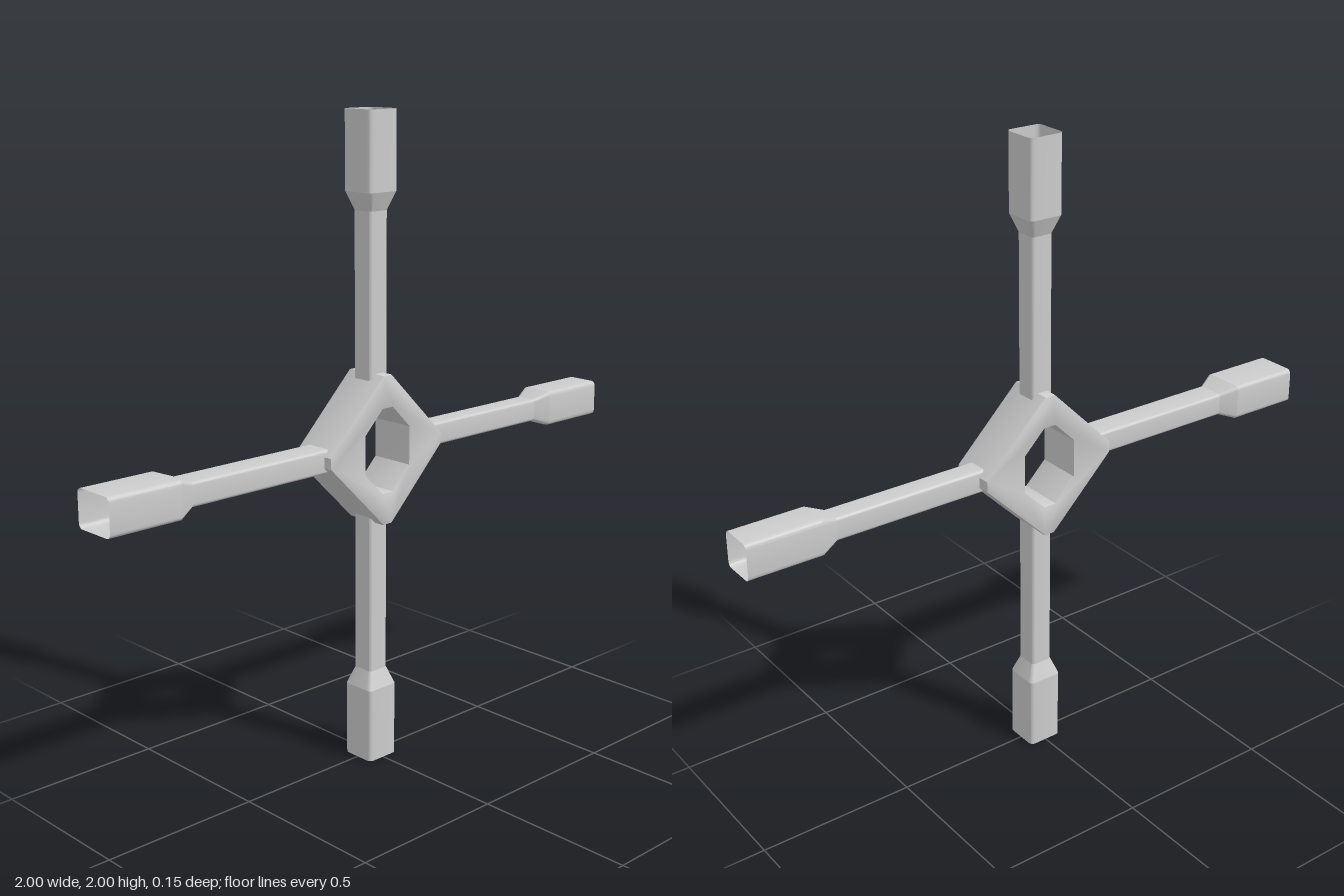
import * as THREE from 'three';
import { toCreasedNormals } from 'three/addons/utils/BufferGeometryUtils.js';

const metal = new THREE.MeshStandardMaterial({ color: 0xcccccc });
const shell = new THREE.MeshStandardMaterial({ color: 0xcccccc, side: THREE.DoubleSide });

// Rounded rectangle outline, half sizes w and d, corner radius r
function ring(w, d, r, segments = 6) {
  const points = [];
  [[1, 1], [-1, 1], [-1, -1], [1, -1]].forEach(([sx, sz], corner) => {
    for (let i = 0; i <= segments; i++) {
      const a = (corner + i / segments) * Math.PI / 2;
      points.push([sx * (w - r) + r * Math.cos(a), sz * (d - r) + r * Math.sin(a)]);
    }
  });
  return points;
}

// Open hollow arm along +y: thin shaft, short flare, wide socket
function armGeometry(shaftDepth, socketDepth) {
  const stations = [
    [0.2, 0.036, shaftDepth, 0.01],
    [0.71, 0.036, shaftDepth, 0.01],
    [0.765, 0.057, socketDepth, 0.015],
    [1, 0.057, socketDepth, 0.015],
  ];
  const positions = [], indices = [];
  let n = 0;
  stations.forEach(([y, w, d, r], s) => {
    const outline = ring(w, d, r);
    n = outline.length;
    outline.forEach(([x, z]) => positions.push(x, y, z));
    if (s === 0) return;
    for (let i = 0; i < n; i++) {
      const j = (i + 1) % n, lo = (s - 1) * n, hi = s * n;
      indices.push(lo + i, hi + i, lo + j, lo + j, hi + i, hi + j);
    }
  });
  const g = new THREE.BufferGeometry();
  g.setAttribute('position', new THREE.Float32BufferAttribute(positions, 3));
  g.setIndex(indices);
  return toCreasedNormals(g, 0.33);
}

// Diamond with cut corners: tips at (tipX, tipY), sides where |x| + |y| = diagonal
function cutDiamond(path, diagonal, tipX, tipY) {
  const a = diagonal - tipY, b = diagonal - tipX;
  return path.setFromPoints([
    [a, tipY], [-a, tipY], [-tipX, b], [-tipX, -b],
    [-a, -tipY], [a, -tipY], [tipX, -b], [tipX, b],
  ].map(([x, y]) => new THREE.Vector2(x, y)));
}

export function createModel() {
  const model = new THREE.Group();
  model.name = 'crossWrench';

  // Central block with its through hole
  const outline = cutDiamond(new THREE.Shape(), 0.247, 0.23, 0.23);
  outline.holes.push(cutDiamond(new THREE.Path(), 0.15, 0.09, 0.13));
  const bevel = 0.005;
  const blockGeometry = new THREE.ExtrudeGeometry(outline, {
    depth: 0.15 - 2 * bevel, bevelEnabled: true, bevelThickness: bevel,
    bevelSize: bevel, bevelOffset: -bevel, bevelSegments: 2,
  });
  blockGeometry.translate(0, 0, -0.075 + bevel);
  const block = new THREE.Mesh(toCreasedNormals(blockGeometry, 0.6), metal);
  block.name = 'centreBlock';
  block.position.y = 1;
  model.add(block);

  // Four socket arms; the one on the right side is deeper
  const regular = armGeometry(0.036, 0.057);
  const deep = armGeometry(0.046, 0.071);
  [['topArm', regular], ['rightArm', deep], ['bottomArm', regular], ['leftArm', regular]]
    .forEach(([name, geometry], i) => {
      const arm = new THREE.Mesh(geometry, shell);
      arm.name = name;
      arm.position.y = 1;
      arm.rotation.z = i * Math.PI / 2;
      model.add(arm);
    });

  return model;
}
